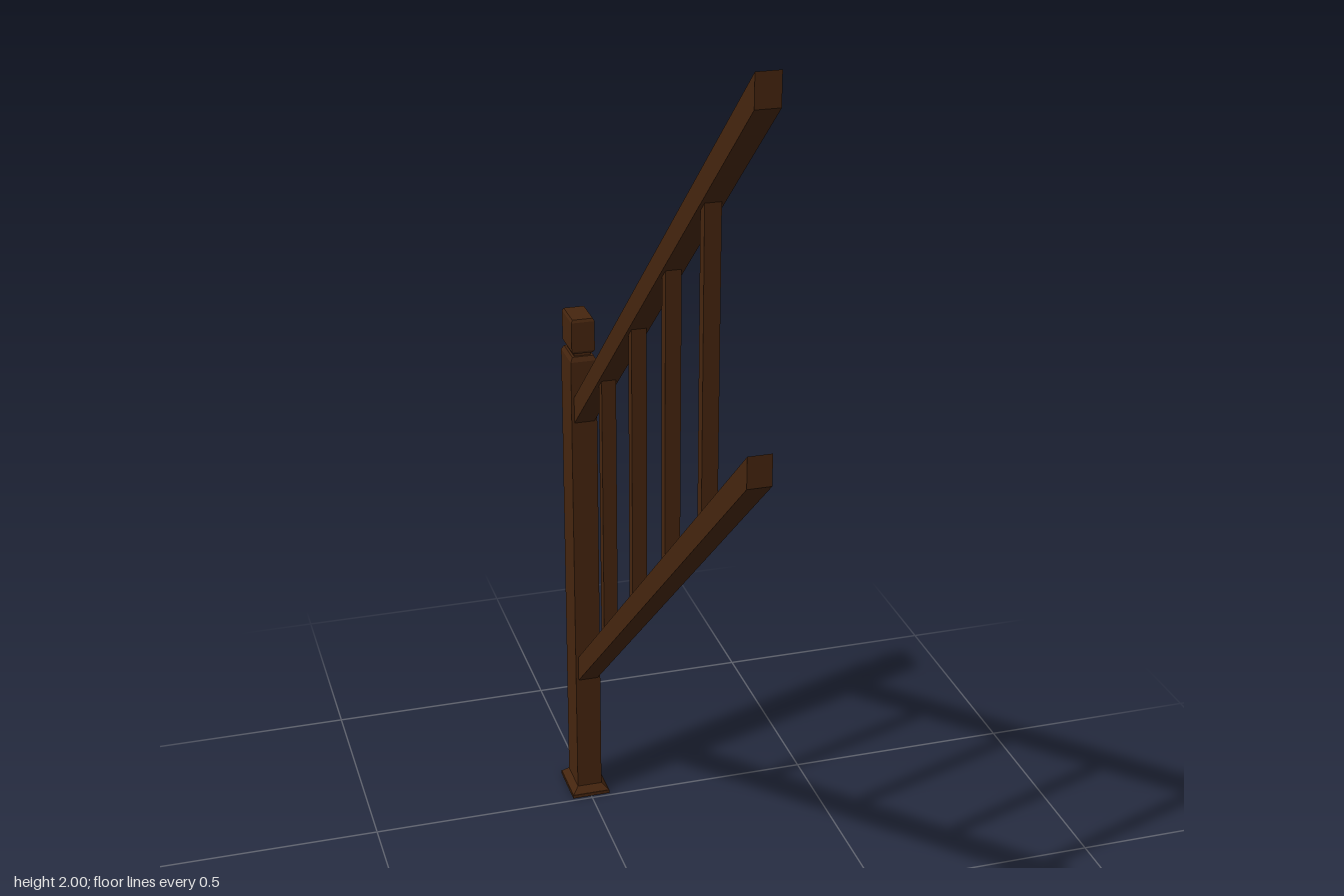
import * as THREE from 'three';

export function createModel() {
  const group = new THREE.Group();
  group.name = 'stairRailing';
  const wood = new THREE.MeshStandardMaterial({ color: 0x45250f });
  wood.name = 'darkWood';

  const add = (name, geometry, parent = group) => {
    const mesh = new THREE.Mesh(geometry, wood);
    mesh.name = name;
    parent.add(mesh);
    return mesh;
  };

  // Block whose width and depth change from bottom to top
  const taper = (w0, d0, w1, d1, y0, y1) => {
    const g = new THREE.BoxGeometry(1, 1, 1);
    const p = g.attributes.position;
    for (let i = 0; i < p.count; i++) {
      const top = p.getY(i) > 0;
      p.setXYZ(i, p.getX(i) * (top ? w1 : w0), top ? y1 : y0, p.getZ(i) * (top ? d1 : d0));
    }
    g.computeVertexNormals();
    return g;
  };

  // Newel post: flared foot, shaft, neck and bevelled cap
  const post = new THREE.Group();
  post.name = 'newelPost';
  post.position.z = -0.564;
  group.add(post);
  add('foot', taper(0.086, 0.112, 0.086, 0.112, 0, 0.008), post);
  add('footFlare', taper(0.084, 0.11, 0.056, 0.083, 0.008, 0.022), post);
  add('shaft', taper(0.056, 0.083, 0.056, 0.083, 0.008, 1.075), post);
  add('shaftBevel', taper(0.056, 0.083, 0.046, 0.072, 1.075, 1.085), post);
  add('neck', taper(0.036, 0.062, 0.036, 0.062, 1.08, 1.1), post);
  add('capUnderside', taper(0.042, 0.072, 0.05, 0.08, 1.092, 1.098), post);
  add('cap', taper(0.05, 0.08, 0.05, 0.08, 1.098, 1.163), post);
  add('capTop', taper(0.05, 0.08, 0.044, 0.074, 1.163, 1.169), post);

  // Sloping rails with plumb-cut ends: top edge height at a given z
  const slope = 0.878, zHigh = 0.622, zLow = -0.53;
  const topAt = z => 2 - slope * (zHigh - z);
  const drop = 0.633, thick = 0.059;
  const rail = offset => {
    const g = new THREE.BoxGeometry(0.044, thick, zHigh - zLow);
    g.translate(0, 0, (zHigh + zLow) / 2);
    const p = g.attributes.position;
    for (let i = 0; i < p.count; i++) {
      p.setY(i, p.getY(i) - thick / 2 + topAt(p.getZ(i)) - offset);
    }
    g.computeVertexNormals();
    return g;
  };
  add('handRail', rail(0));
  add('bottomRail', rail(drop));

  // Upright balusters between the rails
  for (let i = 0; i < 4; i++) {
    const z = 0.346 - i * 0.2257;
    const y1 = topAt(z) - thick / 2, y0 = topAt(z) - drop - thick / 2;
    add('baluster', taper(0.03, 0.023, 0.03, 0.023, y0, y1)).position.z = z;
  }
  return group;
}
